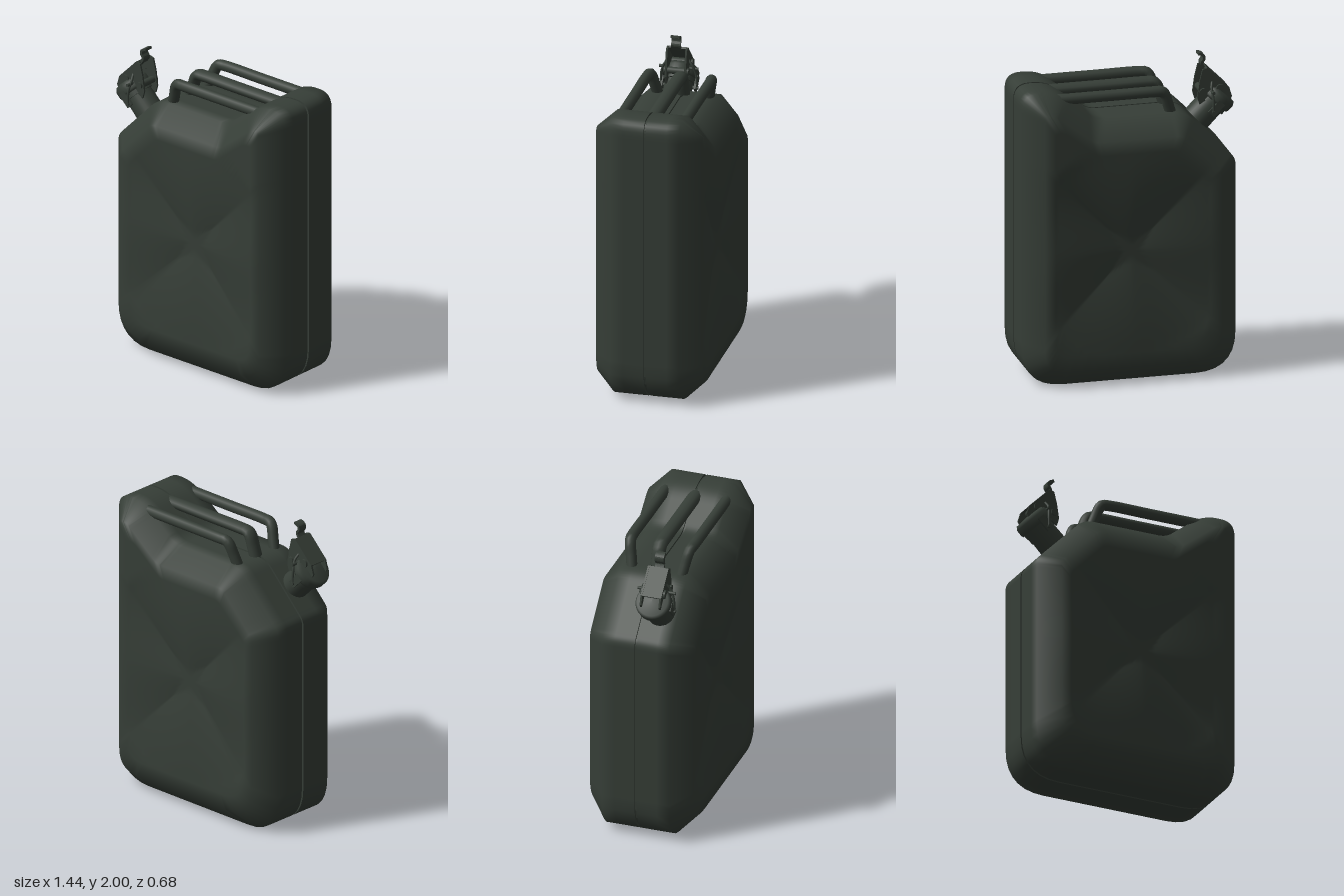
import * as THREE from 'three';

const green = new THREE.MeshStandardMaterial({ color: 0x363e37 });
green.name = 'dark olive green';

const HALF = 0.341, BEVEL = 0.115, GAP = 0.007;
const CX = 0.034, CY = 0.875; // centre of the pressed cross

// Side profile corners, counter-clockwise: x, y, rounding length, how much it tightens when inset
const CORNERS = [
  [-0.656, 0.005, 0.26, 0.4], [0.716, 0.005, 0.26, 1], [0.716, 1.93, 0.12, 1], [0.5, 1.93, 0.1, 1],
  [0.24, 1.73, 0.05, 1], [-0.33, 1.73, 0.07, 1], [-0.656, 1.4, 0.04, 1],
];

// Rounded profile moved inwards by a distance; always the same point count
function outline(inset) {
  const n = CORNERS.length;
  const base = CORNERS.map(([x, y]) => new THREE.Vector2(x, y));
  const dir = base.map((p, i) => base[(i + 1) % n].clone().sub(p).normalize());
  const moved = base.map((p, i) => {
    const u = dir[(i + n - 1) % n], v = dir[i];
    const n1 = new THREE.Vector2(-u.y, u.x), n2 = new THREE.Vector2(-v.y, v.x);
    const k = inset / (1 + n1.dot(n2));
    return p.clone().addScaledVector(n1.add(n2), k);
  });
  const len = moved.map((p, i) => p.distanceTo(moved[(i + 1) % n]));
  const cut = CORNERS.map((c, i) =>
    Math.min(Math.max(c[2] - inset * c[3], 0.03), 0.45 * len[i], 0.45 * len[(i + n - 1) % n]));
  const pts = [];
  for (let i = 0; i < n; i++) {
    const j = (i + 1) % n;
    const a = moved[i].clone().addScaledVector(dir[(i + n - 1) % n], -cut[i]);
    const b = moved[i].clone().addScaledVector(dir[i], cut[i]);
    const curve = new THREE.QuadraticBezierCurve(a, moved[i], b);
    pts.push(...curve.getPoints(7));
    const end = moved[j].clone().addScaledVector(dir[i], -cut[j]);
    const steps = Math.max(2, Math.round(base[i].distanceTo(base[j]) / 0.03));
    for (let s = 1; s < steps; s++) pts.push(b.clone().lerp(end, s / steps));
  }
  return pts;
}

// Depth of the pressed cross: creased valleys on the diagonals, bulging panels between, flat floor
function pressDepth(x, y) {
  const r = Math.hypot(x - CX, y - CY);
  const turn = Math.abs(Math.atan2(y - CY, x - CX)) % (Math.PI / 2);
  const q = Math.abs(turn / (Math.PI / 4) - 1); // 0 on a diagonal, 1 mid-panel
  const g = Math.pow(1 - q, 1.7);
  const valley = Math.pow(Math.max(0, 1 - r / 0.72), 0.7);
  const panel = Math.pow(Math.max(0, 1 - r / 0.62), 2);
  return 0.058 * Math.min(0.8, valley * g + panel * (1 - g));
}

// Joins equal rings of points into a skin, optionally closed by a last point
function skin(rings, tip, flip) {
  const n = rings[0].length, pos = [], index = [];
  const tri = (a, b, c) => (flip ? index.push(a, c, b) : index.push(a, b, c));
  rings.forEach((ring) => ring.forEach((p) => pos.push(...p)));
  for (let i = 0; i < rings.length - 1; i++) {
    for (let j = 0; j < n; j++) {
      const k = (j + 1) % n, a = i * n + j, b = i * n + k;
      tri(a, b, b + n);
      tri(a, b + n, a + n);
    }
  }
  if (tip) {
    const last = (rings.length - 1) * n;
    pos.push(...tip);
    for (let j = 0; j < n; j++) tri(last + j, last + ((j + 1) % n), rings.length * n);
  }
  const geo = new THREE.BufferGeometry();
  geo.setAttribute('position', new THREE.Float32BufferAttribute(pos, 3));
  geo.setIndex(index);
  geo.computeVertexNormals();
  return geo;
}

function add(parent, name, geo, x = 0, y = 0, z = 0) {
  const mesh = new THREE.Mesh(geo, green);
  mesh.name = name;
  mesh.position.set(x, y, z);
  parent.add(mesh);
  return mesh;
}

// One pressed half: side wall, sloping shoulder, then rings closing on the cross
function shellHalf(side) {
  const flat = (inset, z) => outline(inset).map((p) => [p.x, p.y, z * side]);
  const rings = [flat(0, GAP), flat(0, 0.14), flat(0, 0.222), flat(BEVEL, HALF)];
  const rim = outline(BEVEL);
  const count = 24;
  for (let i = 3; i < count; i++) {
    const t = 1 - i / count;
    rings.push(rim.map((p) => {
      const x = CX + (p.x - CX) * t, y = CY + (p.y - CY) * t;
      return [x, y, (HALF - pressDepth(x, y)) * side];
    }));
  }
  return skin(rings, [CX, CY, (HALF - pressDepth(CX, CY)) * side], side < 0);
}

function tube(points, radius, segments = 48) {
  const path = new THREE.CatmullRomCurve3(points.map((p) => new THREE.Vector3(...p)), false, 'centripetal');
  return new THREE.TubeGeometry(path, segments, radius, 12);
}

function prism(points, depth) {
  const shape = new THREE.Shape(points.map((p) => new THREE.Vector2(...p)));
  return new THREE.ExtrudeGeometry(shape, { depth, bevelEnabled: false }).translate(0, 0, -depth / 2);
}

// Pouring neck with its hinged cap; local y runs along the neck
function closure() {
  const g = new THREE.Group();
  g.name = 'spout';
  g.position.set(-0.495, 1.57, 0.112);
  g.rotation.z = Math.PI / 4;
  add(g, 'neck', new THREE.CylinderGeometry(0.088, 0.092, 0.2, 32), 0, 0.06, 0);
  add(g, 'neckCollar', new THREE.CylinderGeometry(0.1, 0.1, 0.03, 32), 0, 0.135, 0);
  const lid = [[0, 0.15], [0.108, 0.15], [0.114, 0.165], [0.114, 0.205], [0.1, 0.228], [0, 0.236]]
    .map((p) => new THREE.Vector2(...p));
  add(g, 'cap', new THREE.LatheGeometry(lid, 32));

  // Cheek plates of the locking lever
  const cheek = prism([[-0.06, 0.2], [-0.045, 0.25], [0.01, 0.28], [0.205, 0.28], [0.222, 0.25],
    [0.18, 0.18], [0.12, 0.1], [0.075, 0.075], [0.06, 0.15]], 0.012);
  for (const s of [-1, 1]) {
    add(g, 'leverCheek', cheek, 0, 0, s * 0.062);
    add(g, 'hingeLug', new THREE.BoxGeometry(0.05, 0.1, 0.014), -0.01, 0.13, s * 0.108);
    const wire = [[-0.01, 0.1, s * 0.115], [0.05, 0.16, s * 0.112], [0.1, 0.2, s * 0.09], [0.12, 0.235, s * 0.06]];
    add(g, 'bailWire', tube(wire, 0.008, 16));
  }
  add(g, 'leverPlate', new THREE.BoxGeometry(0.2, 0.014, 0.13), 0.108, 0.272, 0);

  // Cross pins
  for (const [x, y, r, l] of [[0.05, 0.238, 0.028, 0.16], [0.12, 0.15, 0.022, 0.16], [-0.01, 0.1, 0.011, 0.25], [0.08, 0.19, 0.01, 0.25]]) {
    add(g, 'pin', new THREE.CylinderGeometry(r, r, l, 16).rotateX(Math.PI / 2), x, y, 0);
  }

  // Curled thumb tab, a bent strip
  const curl = new THREE.CatmullRomCurve3([[0.2, 0.262], [0.238, 0.275], [0.244, 0.3], [0.262, 0.316], [0.283, 0.312], [0.298, 0.303]]
    .map(([x, y]) => new THREE.Vector3(x, y, 0))).getPoints(20);
  const edge = (s) => curl.map((p, i) => {
    const t = curl[Math.min(i + 1, 20)].clone().sub(curl[Math.max(i - 1, 0)]).normalize();
    return [p.x - t.y * s, p.y + t.x * s];
  });
  add(g, 'thumbTab', prism([...edge(-0.008), ...edge(0.008).reverse()], 0.06), 0, 0, 0.005);
  return g;
}

export function createModel() {
  const model = new THREE.Group();
  model.name = 'fuelCan';

  // Two pressed halves with a recessed seam between them
  add(model, 'frontShell', shellHalf(1));
  add(model, 'backShell', shellHalf(-1));
  add(model, 'seam', prism(outline(0.012).map((p) => [p.x, p.y]), 0.06));
  for (const s of [-1, 1]) {
    const lip = skin([0.012, 0].map((d) => outline(d).map((p) => [p.x, p.y, s * GAP])), null, s < 0);
    add(model, 'seamLip', lip);
  }

  // Three carrying bars, drawn together where they meet the can at the spout end
  for (const s of [-1, 0, 1]) {
    const path = [[-0.262, 1.69, s * 0.16], [-0.23, 1.785, s * 0.178], [-0.208, 1.848, s * 0.192],
      [-0.188, 1.869, s * 0.197], [-0.14, 1.873, s * 0.202], [0.15, 1.873, s * 0.202], [0.54, 1.873, s * 0.202]];
    const bar = add(model, s ? 'outerHandle' : 'middleHandle', tube(path, 0.035));
    if (!s) bar.scale.z = 1.3;
  }

  model.add(closure());
  return model;
}
